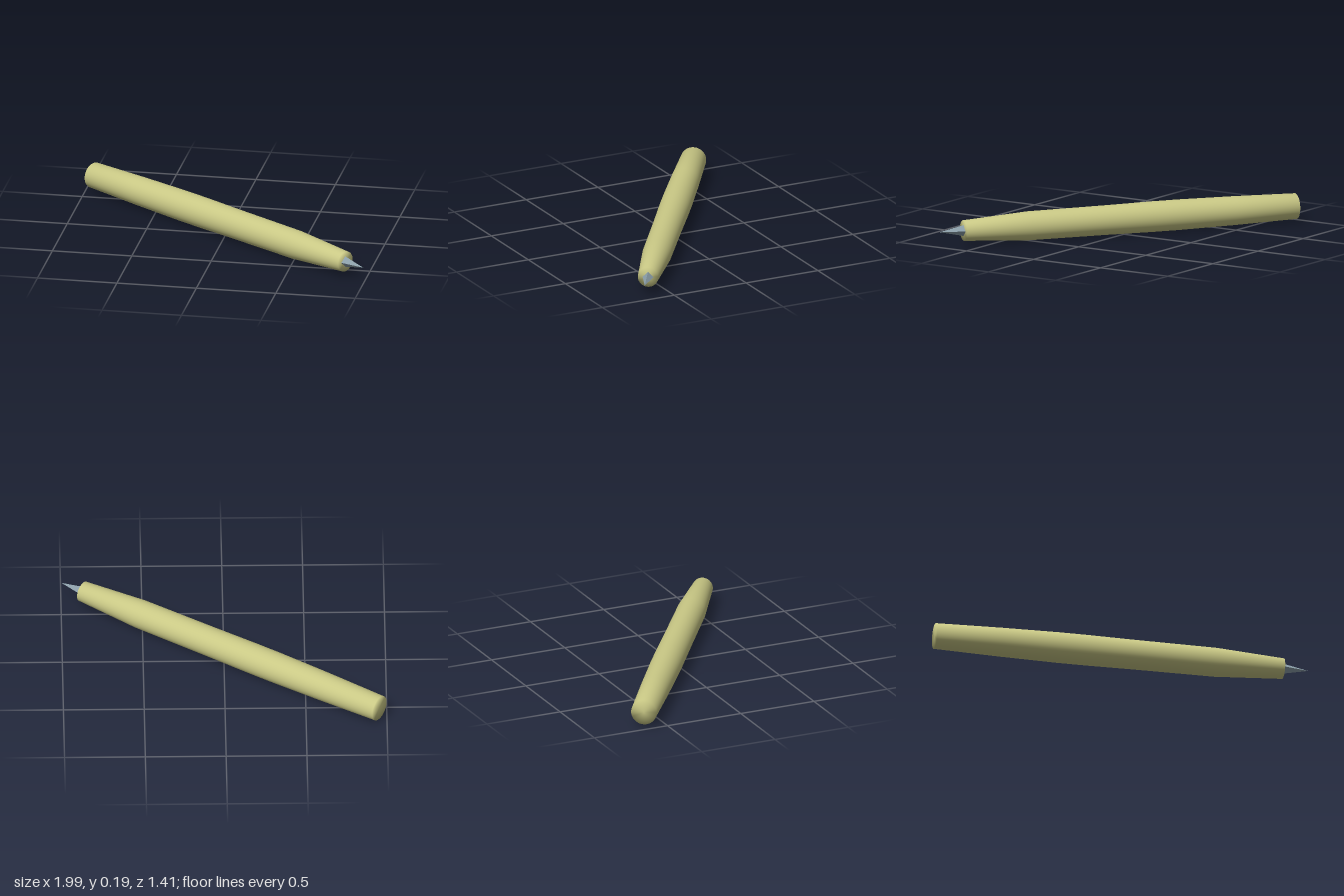
import * as THREE from 'three';

export function createModel() {
  const model = new THREE.Group();
  const barrelPaint = new THREE.MeshStandardMaterial({ color: 0xc9c885 });
  barrelPaint.name = 'olive barrel';
  const steel = new THREE.MeshStandardMaterial({ color: 0x8b9ea8 });
  steel.name = 'blue grey steel';

  // The pen is built along +z, then swung to lie diagonally
  const pen = new THREE.Group();
  pen.name = 'pen';
  pen.position.set(-0.953, 0.098, -0.64);
  pen.rotation.y = Math.atan2(1.818, 1.253);
  model.add(pen);

  // Barrel: slim swelling tube with flat, softly shaded ends
  const profile = [
    [0, 0], [0.08, 0], [0.09, 0.42], [0.095, 0.78], [0.095, 0.95],
    [0.092, 1.27], [0.09, 1.78], [0.064, 2.208], [0, 2.208],
  ].map(([r, t]) => new THREE.Vector2(r, t));
  const barrel = new THREE.Mesh(new THREE.LatheGeometry(profile, 48), barrelPaint);
  barrel.name = 'barrel';
  barrel.rotation.x = Math.PI / 2;
  pen.add(barrel);

  // Nib: sharp four-sided point with crisp facets
  const length = 0.167;
  const nibShape = new THREE.ConeGeometry(0.036, length, 4).toNonIndexed();
  nibShape.computeVertexNormals();
  const nib = new THREE.Mesh(nibShape, steel);
  nib.name = 'nib';
  nib.rotation.x = Math.PI / 2;
  nib.position.z = 2.2 + length / 2;
  pen.add(nib);

  return model;
}
